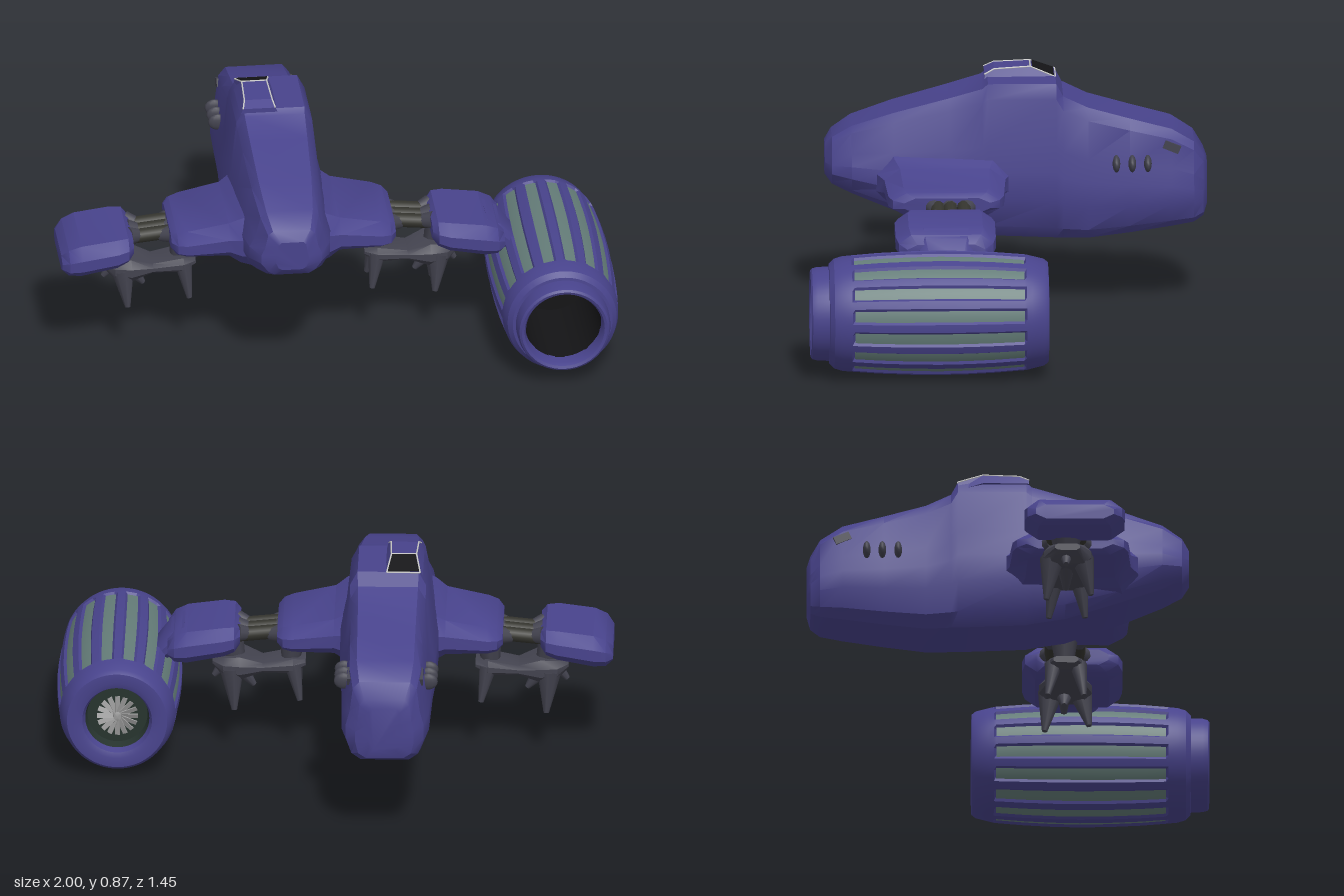
import * as THREE from 'three';
import { toCreasedNormals } from 'three/addons/utils/BufferGeometryUtils.js';

const CX = -0.2; // centre line of the hull
const mat = (color, side = THREE.FrontSide) => new THREE.MeshStandardMaterial({ color, side });
const paint = mat(0x48438c), green = mat(0x647c78), dark = mat(0x43434f), black = mat(0x141416, THREE.DoubleSide);
const pipeGrey = mat(0x35352f), white = mat(0xdddddd), steel = mat(0x9a9a9a, THREE.DoubleSide), recess = mat(0x26332e);
const V = (x, y, z) => new THREE.Vector3(x, y, z);

function add(parent, name, geometry, material) {
  const m = new THREE.Mesh(geometry, material);
  m.name = name;
  parent.add(m);
  return m;
}

// Skin over a row of closed rings, capped at both ends, always facing outward
function loft(rings, crease = 0.6) {
  const n = rings[0].length, pos = [], idx = [];
  rings.forEach(r => r.forEach(p => pos.push(p.x, p.y, p.z)));
  for (let i = 0; i < rings.length - 1; i++) for (let j = 0; j < n; j++) {
    const a = i * n + j, b = i * n + (j + 1) % n;
    idx.push(a, b, b + n, a, b + n, a + n);
  }
  const e = (rings.length - 1) * n;
  for (let j = 1; j < n - 1; j++) idx.push(0, j + 1, j, e, e + j, e + j + 1);
  const at = i => V(pos[3 * i], pos[3 * i + 1], pos[3 * i + 2]);
  let volume = 0;
  for (let i = 0; i < idx.length; i += 3) volume += at(idx[i]).dot(at(idx[i + 1]).cross(at(idx[i + 2])));
  if (volume < 0) idx.reverse();
  const g = new THREE.BufferGeometry();
  g.setAttribute('position', new THREE.Float32BufferAttribute(pos, 3));
  g.setIndex(idx);
  return toCreasedNormals(g, crease);
}

// Chamfered slab running along x; rows are [x, z0, z1, y0, y1]
const slab = (rows, fx) => loft(rows.map(([x, z0, z1, y0, y1]) => {
  const c = (z1 - z0) * 0.13, h = (y1 - y0) * 0.32;
  return [[z0 + c, y0], [z1 - c, y0], [z1, y0 + h], [z1, y1 - h], [z1 - c, y1], [z0 + c, y1], [z0, y1 - h], [z0, y0 + h]]
    .map(([z, y]) => V(fx(x), y, z));
}));

// Tapered round bar between two points
function bar(parent, name, a, b, r0, r1, material, sides = 8) {
  const m = add(parent, name, new THREE.CylinderGeometry(r1, r0, a.distanceTo(b), sides), material);
  m.position.copy(a).lerp(b, 0.5);
  m.quaternion.setFromUnitVectors(V(0, 1, 0), b.clone().sub(a).normalize());
  return m;
}

function buildHull(g) {
  // z, bottom, top, half width at roof, waist and belly
  const rows = [
    [0.645, 0.49, 0.60, 0.05, 0.06, 0.05], [0.62, 0.46, 0.635, 0.085, 0.11, 0.085], [0.55, 0.43, 0.68, 0.105, 0.145, 0.115],
    [0.40, 0.37, 0.73, 0.12, 0.165, 0.135], [0.20, 0.30, 0.785, 0.13, 0.175, 0.145], [0.08, 0.28, 0.82, 0.135, 0.178, 0.145],
    [0.06, 0.275, 0.838, 0.137, 0.178, 0.145], [-0.185, 0.265, 0.838, 0.137, 0.172, 0.145], [-0.21, 0.265, 0.79, 0.135, 0.17, 0.145],
    [-0.30, 0.262, 0.747, 0.132, 0.163, 0.14], [-0.45, 0.28, 0.705, 0.13, 0.16, 0.135], [-0.60, 0.302, 0.665, 0.128, 0.157, 0.13],
    [-0.68, 0.315, 0.615, 0.115, 0.14, 0.12], [-0.715, 0.335, 0.56, 0.09, 0.105, 0.095], [-0.728, 0.37, 0.53, 0.055, 0.06, 0.055],
  ];
  const rings = rows.map(([z, b, t, wr, ww, wb]) => {
    const h = t - b;
    const half = [[wb * 0.72, b], [wb, b + 0.08 * h], [ww, b + 0.27 * h], [ww, b + 0.45 * h],
      [wr * 0.55 + ww * 0.45, b + 0.62 * h], [wr, t - 0.09 * h], [wr * 0.8, t]];
    return [...half.map(([x, y]) => V(CX + x, y, z)), ...half.reverse().map(([x, y]) => V(CX - x, y, z))];
  });
  add(g, 'hull', loft(rings, 0.5), paint);

  // Off-centre cabin: painted roof, sloping dark window, thin pale frame
  const cabin = [[0.07, 0.828, 0.846, 0.066, 0.058], [0.035, 0.828, 0.864, 0.07, 0.05], [-0.095, 0.828, 0.871, 0.07, 0.045],
    [-0.185, 0.8, 0.836, 0.068, 0.06]];
  const cx = -0.255;
  add(g, 'cabin', loft(cabin.map(([z, b, t, wb, wt]) =>
    [V(cx - wb, b, z), V(cx + wb, b, z), V(cx + wt, t, z), V(cx - wt, t, z)]), 0.2), paint);
  const pane = [[-0.102, 0.873, 0.042], [-0.18, 0.842, 0.056]];
  add(g, 'cabinWindow', loft(pane.map(([z, y, w]) =>
    [V(cx - w, y - 0.012, z), V(cx + w, y - 0.012, z), V(cx + w, y, z), V(cx - w, y, z)]), 0.2), black);
  for (const s of [1, -1]) {
    const pts = cabin.map(([z, , t, , w]) => V(cx + s * w, t, z));
    for (let i = 0; i < 3; i++) bar(g, 'cabinFrame', pts[i], pts[i + 1], 0.003, 0.003, white, 6);
  }
  for (const [z, , t, , w] of [cabin[2], cabin[3]]) bar(g, 'cabinFrame', V(cx - w, t, z), V(cx + w, t, z), 0.003, 0.003, white, 6);

  // Side exhausts and small vents
  for (const s of [1, -1]) {
    for (const z of [-0.40, -0.457, -0.513]) {
      const port = add(g, 'exhaustPort', new THREE.SphereGeometry(1, 12, 8), dark);
      port.scale.set(0.035, 0.031, 0.014);
      port.position.set(CX + s * 0.152, 0.55, z);
    }
    const vent = add(g, 'sideVent', new THREE.BoxGeometry(0.02, 0.03, 0.06), dark);
    vent.position.set(CX + s * 0.126, 0.605, -0.6);
    vent.rotation.x = -0.4;
  }
}

function buildSide(g, fx) {
  add(g, 'wing', slab([[-0.12, -0.04, 0.48, 0.38, 0.61], [-0.04, -0.02, 0.46, 0.40, 0.575], [0.0, 0.0, 0.435, 0.42, 0.55],
    [0.15, 0.01, 0.425, 0.42, 0.52], [0.185, 0.025, 0.41, 0.425, 0.51], [0.205, 0.06, 0.37, 0.44, 0.495]], fx), paint);
  add(g, 'outerPod', slab([[0.34, 0.10, 0.36, 0.42, 0.48], [0.36, 0.06, 0.395, 0.40, 0.495], [0.40, 0.05, 0.41, 0.385, 0.495],
    [0.53, 0.05, 0.41, 0.36, 0.478], [0.575, 0.06, 0.40, 0.36, 0.46], [0.60, 0.09, 0.37, 0.375, 0.43]], fx), paint);

  // Bundle of pipes between wing and pod
  for (const z of [0.155, 0.205, 0.25]) {
    bar(g, 'linkPipe', V(fx(0.17), 0.465, z), V(fx(0.37), 0.445, z), 0.026, 0.026, pipeGrey, 10);
    for (const [a, b] of [[0.19, 0.235], [0.35, 0.315]])
      bar(g, 'pipeCollar', V(fx(a), 0.46, 0.2 + (z - 0.2) * 1.3), V(fx(b), 0.453, z), 0.033, 0.025, dark, 10);
  }

  // Claw: bridge, struts and tapering toes
  add(g, 'clawBridge', slab([[0.105, 0.16, 0.25, 0.32, 0.345], [0.15, 0.13, 0.28, 0.30, 0.355], [0.26, 0.14, 0.27, 0.30, 0.335],
    [0.34, 0.11, 0.30, 0.28, 0.365], [0.40, 0.12, 0.29, 0.29, 0.36], [0.44, 0.16, 0.25, 0.325, 0.35]], fx), dark);
  const limbs = [
    [0.16, 0.33, 0.2, 0.15, 0.44, 0.2, 0.032, 0.05], [0.36, 0.33, 0.2, 0.39, 0.43, 0.2, 0.04, 0.06],
    [0.37, 0.32, 0.15, 0.36, 0.165, 0.13, 0.045, 0.010], [0.37, 0.32, 0.26, 0.355, 0.185, 0.29, 0.042, 0.010],
    [0.15, 0.33, 0.16, 0.125, 0.20, 0.14, 0.032, 0.010], [0.15, 0.33, 0.25, 0.13, 0.20, 0.27, 0.032, 0.010],
    [0.35, 0.31, 0.2, 0.29, 0.235, 0.2, 0.035, 0.010], [0.38, 0.34, 0.2, 0.435, 0.27, 0.2, 0.03, 0.010],
  ];
  limbs.forEach(([x, y, z, X, Y, Z, r, R], i) => bar(g, i < 2 ? 'clawStrut' : 'clawToe', V(fx(x), y, z), V(fx(X), Y, Z), r, R, dark));
}

function buildEngine(parent) {
  const g = new THREE.Group();
  g.name = 'engine';
  g.position.set(0.775, 0.225, 0);
  parent.add(g);
  const lathe = (name, pts, material, seg = 48) => {
    const geo = new THREE.LatheGeometry(pts.map(p => new THREE.Vector2(...p)), seg);
    return add(g, name, toCreasedNormals(geo.rotateX(Math.PI / 2), 0.6), material);
  };
  // Barrel casing with 16 slots pressed into it
  const pts = [[0.115, -0.10], [0.125, -0.125], [0.145, -0.132], [0.18, -0.13], [0.192, -0.115], [0.203, -0.07], [0.208, -0.05], [0.209, -0.042],
    [0.217, 0.06], [0.222, 0.16], [0.224, 0.26], [0.222, 0.37], [0.217, 0.48], [0.210, 0.568], [0.209, 0.577], [0.206, 0.61], [0.197, 0.64], [0.18, 0.657], [0.155, 0.66]];
  const geo = new THREE.LatheGeometry(pts.map(p => new THREE.Vector2(...p)), 96);
  const p = geo.attributes.position;
  for (let i = 0; i < p.count; i++) {
    const k = Math.floor(i / pts.length) % 6, y = p.getY(i);
    if (k < 2 || k > 4 || y < -0.045 || y > 0.57) continue;
    const r = Math.hypot(p.getX(i), p.getZ(i)), s = (r - 0.014) / r;
    p.setXYZ(i, p.getX(i) * s, y, p.getZ(i) * s);
  }
  add(g, 'engineCasing', toCreasedNormals(geo.rotateX(Math.PI / 2), 0.45), paint);
  lathe('slotLining', pts.slice(7, 14).map(([r, z]) => [r - 0.008, z]), green, 96);

  // Front collar and dark bore
  lathe('frontCollar', [[0.17, 0.64], [0.168, 0.70], [0.163, 0.718], [0.155, 0.724], [0.145, 0.72], [0.138, 0.705], [0.138, 0.66]], paint);
  lathe('bore', [[0.138, 0.665], [0.138, 0.3], [0, 0.3]], black);

  // Rear recess with a bladed fan
  lathe('rearRecess', [[0, -0.06], [0.108, -0.06], [0.117, -0.102]], recess);
  lathe('fanHub', [[0, -0.098], [0.014, -0.094], [0.02, -0.06]], steel, 16);
  for (let i = 0; i < 16; i++) {
    const blade = add(g, 'fanBlade', new THREE.BoxGeometry(0.018, 0.06, 0.004).translate(0, 0.044, 0).rotateY(0.4), steel);
    blade.position.z = -0.08;
    blade.rotation.z = i * Math.PI / 8;
  }
}

export function createModel() {
  const model = new THREE.Group();
  model.name = 'model';
  buildHull(model);
  for (const [name, fx] of [['leftWing', x => x], ['rightWing', x => 2 * CX - x]]) {
    const side = new THREE.Group();
    side.name = name;
    model.add(side);
    buildSide(side, fx);
  }
  buildEngine(model);
  // Bracket holding the engine to the left pod
  add(model, 'engineBracket', slab([[0.54, 0.12, 0.34, 0.38, 0.475], [0.59, 0.13, 0.33, 0.36, 0.45], [0.64, 0.15, 0.31, 0.32, 0.39]], x => x), paint);
  return model;
}
